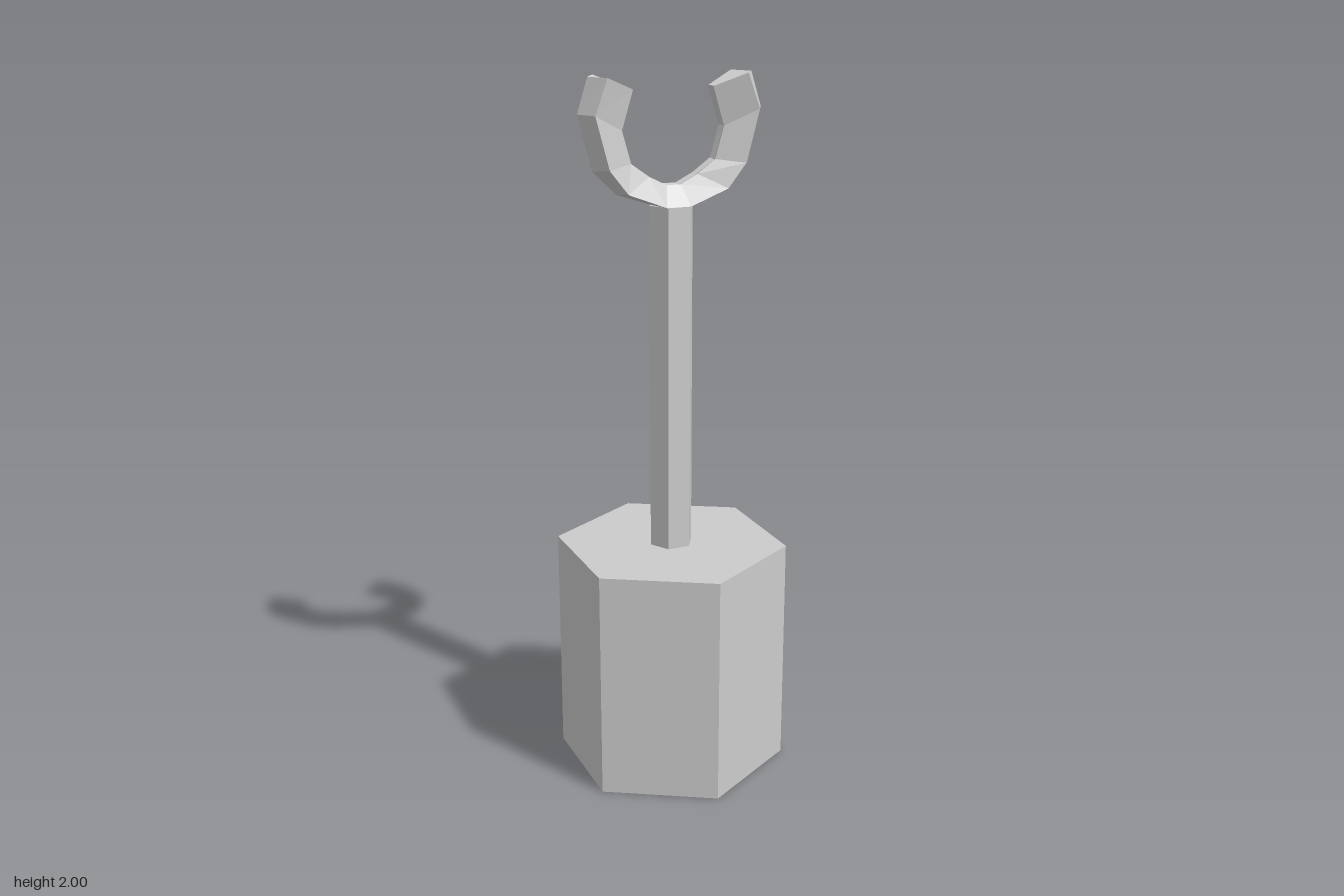
import * as THREE from 'three';

const material = new THREE.MeshStandardMaterial({ color: 0xcccccc, flatShading: true });

function hexPrism(name, radius, y0, y1, turn) {
  const geometry = new THREE.CylinderGeometry(radius, radius, y1 - y0, 6);
  geometry.rotateY(turn);
  geometry.translate(0, (y0 + y1) / 2, 0);
  const mesh = new THREE.Mesh(geometry, material);
  mesh.name = name;
  return mesh;
}

// Six-sided section: outer ridge, broad sides, narrow inner edge
function section([outer, side, inner, groove], mirror) {
  const at = ([x, y], z) => [x * mirror, y, z];
  return [at(outer, 0), at(side, 0.057), at(inner, 0.018), at(groove, 0), at(inner, -0.018), at(side, -0.057)];
}

function jawGeometry() {
  // Half of the open jaw, from its tip down to the stem
  const half = [
    [[0.235, 2.0], [0.2, 2.0], [0.115, 1.965], [0.125, 1.965]],
    [[0.265, 1.905], [0.235, 1.905], [0.147, 1.86], [0.152, 1.86]],
    [[0.226, 1.755], [0.197, 1.763], [0.122, 1.772], [0.128, 1.768]],
    [[0.158, 1.69], [0.145, 1.697], [0.07, 1.735], [0.072, 1.731]],
    [[0.038, 1.65], [0.035, 1.655], [0.02, 1.71], [0.02, 1.705]],
  ];
  const rings = [
    ...half.map((s) => section(s, 1)),
    ...[...half].reverse().map((s) => section(s, -1)),
  ];
  const index = [];
  for (let i = 0; i < rings.length - 1; i++) {
    for (let j = 0; j < 6; j++) {
      const a = i * 6 + j, b = i * 6 + (j + 1) % 6;
      index.push(a, b, b + 6, a, b + 6, a + 6);
    }
  }
  // Tip caps, fanned from the groove point
  const last = (rings.length - 1) * 6;
  for (let k = 1; k < 5; k++) {
    const a = (3 + k) % 6, b = (4 + k) % 6;
    index.push(3, b, a, last + 3, last + a, last + b);
  }
  const geometry = new THREE.BufferGeometry();
  geometry.setAttribute('position', new THREE.Float32BufferAttribute(rings.flat(2), 3));
  geometry.setIndex(index);
  const flat = geometry.toNonIndexed();
  flat.computeVertexNormals();
  return flat;
}

export function createModel() {
  const model = new THREE.Group();
  model.name = 'openJawTool';

  // Heavy block and slim stem
  model.add(hexPrism('base', 0.334, 0, 0.67, 0));
  model.add(hexPrism('stem', 0.064, 0.67, 1.655, Math.PI / 2));

  // Open jaw, turned very slightly on the stem
  const jaw = new THREE.Mesh(jawGeometry(), material);
  jaw.name = 'jaw';
  jaw.rotation.y = -0.015;
  model.add(jaw);

  return model;
}
